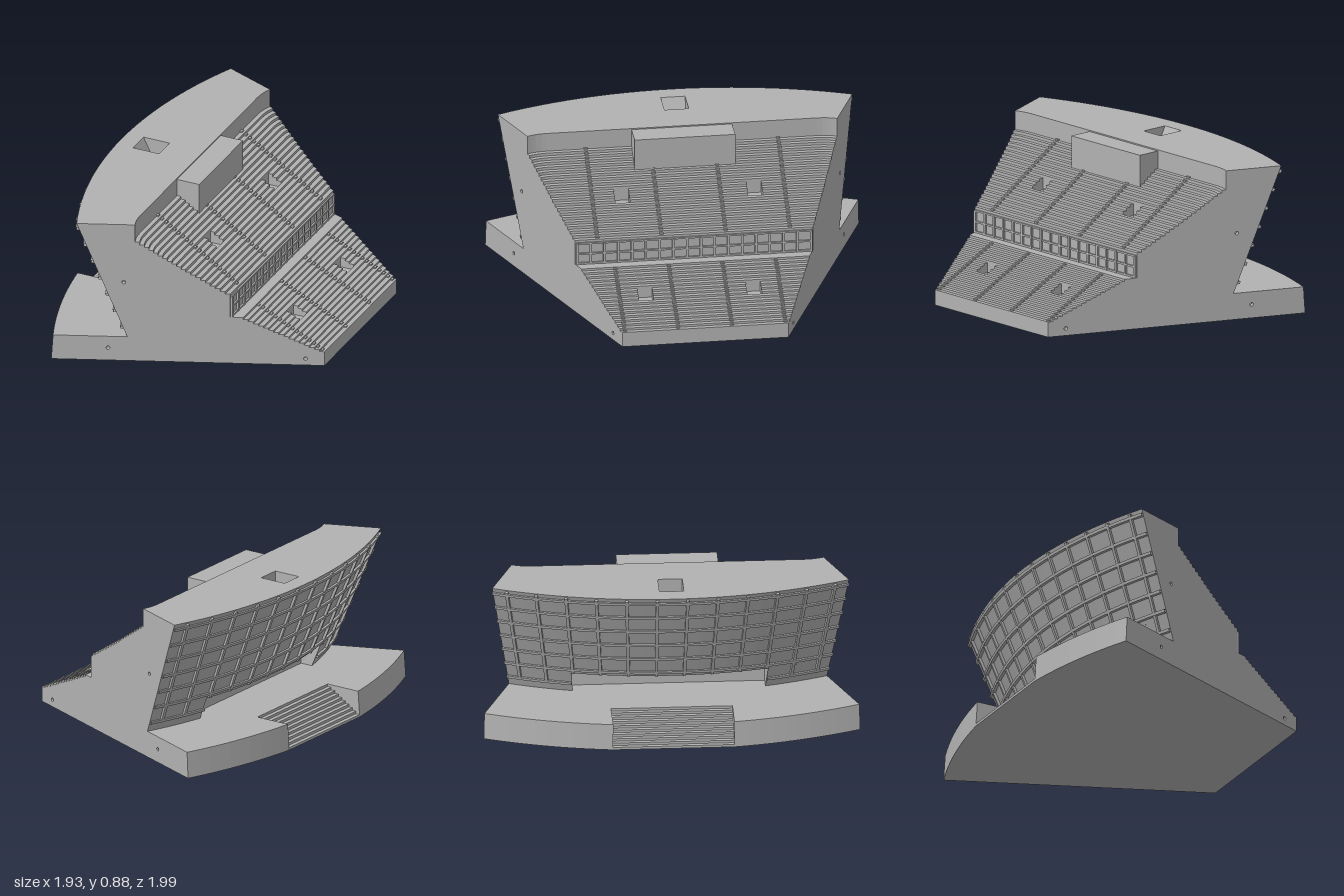
import * as THREE from 'three';
import { mergeGeometries } from 'three/addons/utils/BufferGeometryUtils.js';

// One eighth of a stadium bowl. Local frame: x along the rows, z outward from the pitch centre.
const HALF = Math.PI / 8, TAN = Math.tan(HALF), COS = Math.cos(HALF), SIN = Math.sin(HALF);
const ROUND = 1.88;                       // rows further out than this have rounded corners
const ROOF = 0.885, DECK = 0.155;         // heights of the roof and the outer podium
const OUTER = 2.815, FOOT = 2.38, BROW = 2.67; // radii: podium, facade foot, facade top
const DOOR = 13.4 * Math.PI / 180, DOOR_TOP = 0.29, DOOR_BACK = 2.24;
const NOTCH = 7.1 * Math.PI / 180;

const facadeR = y => FOOT + (BROW - FOOT) * (y - DECK) / (ROOF - DECK);
const endRadius = a => a > ROUND ? ROUND / COS + a - ROUND : a / COS;

// Point on the row at distance a, clipped to the wedge
function rowPoint(a, u) {
  const hw = endRadius(a) * SIN, x = Math.max(-hw, Math.min(hw, u));
  const over = Math.abs(x) - ROUND * TAN, R = a - ROUND;
  return [x, over > 0 && R > 0 ? ROUND + Math.sqrt(Math.max(0, R * R - over * over)) : a];
}

function arc(r, t0, t1, n = 16) {
  return Array.from({ length: n + 1 }, (_, i) => {
    const t = t0 + (t1 - t0) * i / n;
    return [r * Math.sin(t), r * Math.cos(t)];
  });
}

function quads(list) {
  const pos = [];
  for (const [a, b, c, d] of list) pos.push(...a, ...b, ...c, ...a, ...c, ...d);
  const g = new THREE.BufferGeometry();
  g.setAttribute('position', new THREE.Float32BufferAttribute(pos, 3));
  g.computeVertexNormals();
  return g;
}

const toShape = pts => new THREE.Shape(pts.map(p => new THREE.Vector2(p[0], p[1])));

// Horizontal plate from [x, z] points
function plate(pts, y, up = true, hole = null) {
  const s = up ? -1 : 1, map = l => l.map(p => [p[0], s * p[1]]);
  const shape = toShape(map(pts));
  if (hole) shape.holes.push(toShape(map(hole)));
  return new THREE.ShapeGeometry(shape).rotateX(s * Math.PI / 2).translate(0, y, 0);
}

function lathe(pts, t0, t1, n = 16) {
  const g = new THREE.LatheGeometry(pts.map(p => new THREE.Vector2(p[0], p[1])), n, t0, t1 - t0).toNonIndexed();
  g.computeVertexNormals();
  return g;
}

const box = (x0, x1, y0, y1, z0, z1) => new THREE.BoxGeometry(x1 - x0, y1 - y0, z1 - z0)
  .translate((x0 + x1) / 2, (y0 + y1) / 2, (z0 + z1) / 2);

export function createModel() {
  const concrete = new THREE.MeshStandardMaterial({ color: 0xb2b2b2, side: THREE.DoubleSide });
  concrete.name = 'concreteGrey';
  const model = new THREE.Group(), stand = new THREE.Group();
  model.name = 'stadiumSection';
  stand.name = 'stand';
  model.add(stand);
  stand.position.set(1.85, 0, -0.995);
  stand.rotation.y = -3 * HALF;
  const add = (name, geo) => {
    const m = new THREE.Mesh(geo, concrete);
    m.name = name;
    stand.add(m);
    return m;
  };

  // Stepped seating profile as [distance, height], with half steps for the aisles
  const profile = [[1.156, 0], [1.156, 0.09]], aisles = [];
  function tier(n, a0, a1, y0, y1, aisleAt) {
    const d = (a1 - a0) / n, h = (y1 - y0) / n;
    for (let i = 0; i < n; i++) {
      const a = a0 + d * (i + 1), y = y0 + h * i;
      profile.push([a, y], [a, y + h]);
      for (const u of aisleAt) for (const s of [-1, 1])
        aisles.push(box(s * u - 0.011, s * u + 0.011, y, y + h / 2, a - d / 2, a));
    }
  }
  tier(16, 1.156, 1.586, 0.09, 0.30, [0.155, 0.463]);
  profile.push([1.655, 0.30], [1.655, 0.45]);
  tier(20, 1.655, 2.18, 0.45, 0.79, [0.185, 0.555]);
  profile.push([2.18, ROOF]);
  add('aisleSteps', mergeGeometries(aisles));

  // Sunken entrances in the two tiers
  const pits = [[1.345, 1.455, 0.27, 0.355], [1.85, 1.965, 0.34, 0.425]].map(([a0, a1, u0, u1]) => {
    const inside = profile.map((p, i) => i).filter(i => profile[i][0] > a0 && profile[i][0] < a1);
    return { first: inside[0], last: inside[inside.length - 1], u0, u1 };
  });

  // Seating surface, leaving out the entrances
  const us = [0, 0.27, 0.34, 0.355, 0.425, 0.78, 0.81, 0.84, 0.86, 0.88, 0.9];
  const cols = [...us.slice(1).map(u => -u).reverse(), ...us];
  const faces = [];
  for (let i = 0; i < profile.length - 1; i++) {
    const [a, y] = profile[i], [b, y2] = profile[i + 1];
    for (let j = 0; j < cols.length - 1; j++) {
      const mid = Math.abs(cols[j] + cols[j + 1]) / 2;
      if (pits.some(p => i >= p.first && i < p.last && mid > p.u0 && mid < p.u1)) continue;
      const at = (d, h, u) => { const [x, z] = rowPoint(d, u); return [x, h, z]; };
      faces.push([at(a, y, cols[j + 1]), at(a, y, cols[j]), at(b, y2, cols[j]), at(b, y2, cols[j + 1])]);
    }
  }
  add('seatingTiers', quads(faces));

  for (const { first, last, u0, u1 } of pits) for (const s of [-1, 1]) {
    const slice = profile.slice(first, last + 1), [a0, yl] = slice[0], [a1, yh] = slice[slice.length - 1];
    const f = yl - 0.02, l = s > 0 ? u0 : -u1, r = s > 0 ? u1 : -u0;
    add('entranceFloorAndWalls', quads([
      [[l, f, a0], [l, f, a1], [r, f, a1], [r, f, a0]],
      [[r, f, a1], [l, f, a1], [l, yh, a1], [r, yh, a1]],
      [[l, f, a0], [r, f, a0], [r, yl, a0], [l, yl, a0]]]));
    for (const u of [l, r])
      add('entranceSide', new THREE.ShapeGeometry(toShape([...slice, [a1, f], [a0, f]]))
        .rotateY(-Math.PI / 2).translate(u, 0, 0));
  }

  // Window grid on the wall between the tiers
  const bars = [0.305, 0.365, 0.43].map(y => box(-0.68, 0.68, y - 0.005, y + 0.005, 1.645, 1.656));
  for (let i = 0; i <= 17; i++) {
    const u = -0.675 + i * 1.35 / 17;
    bars.push(box(u - 0.007, u + 0.007, 0.30, 0.43, 1.643, 1.656));
  }
  add('windowGrid', mergeGeometries(bars));

  add('pressBox', box(-0.29, 0.29, 0.69, 0.878, 2.04, 2.19));

  // Roof with a sunken hatch
  const roofEdge = cols.map(u => rowPoint(2.18, u))
    .filter((p, i, l) => !i || Math.abs(p[0] - l[i - 1][0]) > 1e-6);
  const h = 0.07, h0 = 2.40, h1 = 2.565, h2 = 2.515, hy = 0.785;
  add('roof', plate([...roofEdge, ...arc(BROW, HALF, -HALF, 24)], ROOF, true,
    [[-h, h0], [h, h0], [h, h1], [-h, h1]]));
  add('roofHatch', quads([
    [[-h, hy, h0], [-h, hy, h2], [h, hy, h2], [h, hy, h0]],
    [[h, hy, h2], [-h, hy, h2], [-h, ROOF, h1], [h, ROOF, h1]],
    [[-h, hy, h0], [h, hy, h0], [h, ROOF, h0], [-h, ROOF, h0]],
    [[-h, hy, h2], [-h, hy, h0], [-h, ROOF, h0], [-h, ROOF, h1]],
    [[h, hy, h0], [h, hy, h2], [h, ROOF, h1], [h, ROOF, h0]]]));

  // Leaning facade above and beside the recessed doorway
  const rTop = facadeR(DOOR_TOP), dw = FOOT * Math.sin(DOOR);
  add('facadeUpper', lathe([[rTop, DOOR_TOP], [BROW, ROOF]], -HALF, HALF, 24));
  for (const s of [-1, 1]) {
    const t0 = s > 0 ? DOOR : -HALF, t1 = s > 0 ? HALF : -DOOR;
    add('facadeLower', lathe([[FOOT, DECK], [rTop, DOOR_TOP]], t0, t1, 6));
    const sx = s * Math.sin(DOOR), cz = Math.cos(DOOR);
    add('doorwaySide', quads([[[s * dw, DECK, DOOR_BACK], [s * dw, DOOR_TOP, DOOR_BACK],
      [rTop * sx, DOOR_TOP, rTop * cz], [FOOT * sx, DECK, FOOT * cz]]]));
  }
  add('doorwayBack', quads([[[-dw, DECK, DOOR_BACK], [dw, DECK, DOOR_BACK],
    [dw, DOOR_TOP, DOOR_BACK], [-dw, DOOR_TOP, DOOR_BACK]]]));
  add('doorwayCeiling', plate([[-dw, DOOR_BACK], [dw, DOOR_BACK], ...arc(rTop, DOOR, -DOOR)], DOOR_TOP, false));

  // Facade ribs
  const lean = Math.atan2(BROW - FOOT, ROOF - DECK);
  for (let i = 0; i < 12; i++) {
    const t = -HALF + (i + 0.5) * HALF / 6;
    const y0 = Math.abs(t) < DOOR ? DOOR_TOP + 0.01 : 0.21, y1 = 0.875, ym = (y0 + y1) / 2;
    add('verticalRib', new THREE.BoxGeometry(0.018, (y1 - y0) / Math.cos(lean), 0.024)
      .rotateX(lean).translate(0, ym, facadeR(ym) + 0.003).rotateY(t));
  }
  for (let i = 0; i < 7; i++) {
    const y = 0.215 + i * 0.106, r = facadeR(y);
    const section = [[r - 0.004, y - 0.008], [r + 0.014, y - 0.008], [r + 0.018, y + 0.008], [r + 0.002, y + 0.008]];
    const spans = y < DOOR_TOP ? [[-HALF, -DOOR], [DOOR, HALF]] : [[-HALF, HALF]];
    for (const [t0, t1] of spans) add('horizontalRib', lathe(section, t0, t1, 20));
  }

  // Podium deck, outer wall and entrance stairs
  const w = OUTER * Math.sin(NOTCH), edge = OUTER * Math.cos(NOTCH), back = 2.545, lip = OUTER - 0.01;
  add('podiumDeck', plate([
    ...arc(FOOT, -HALF, -DOOR, 6), [-dw, DOOR_BACK], [dw, DOOR_BACK], ...arc(FOOT, DOOR, HALF, 6),
    ...arc(lip, HALF, NOTCH), [w, back], [-w, back], ...arc(lip, -NOTCH, -HALF)], DECK));
  for (const s of [-1, 1]) {
    add('podiumWall', lathe([[OUTER, 0], [lip, DECK]], s > 0 ? NOTCH : -HALF, s > 0 ? HALF : -NOTCH, 10));
    add('stairSide', quads([[[s * w, 0, back], [s * w, 0, edge], [s * w, DECK, edge - 0.01], [s * w, DECK, back]]]));
  }
  const stair = [[back, 0], [back, DECK]], n = 10;
  for (let i = 1; i <= n; i++) {
    const a = back + (edge - back) * i / n;
    stair.push([a, DECK * (1 - (i - 1) / n)], [a, DECK * (1 - i / n)]);
  }
  stair.pop();
  stair.push([edge, 0]);
  add('outerStairs', new THREE.ExtrudeGeometry(toShape(stair), { depth: 2 * w, bevelEnabled: false })
    .rotateY(-Math.PI / 2).translate(w, 0, 0));

  // Underside
  const front = 1.156 * TAN;
  add('base', plate([[-front, 1.156], [front, 1.156],
    ...arc(OUTER, HALF, NOTCH), ...arc(OUTER, -NOTCH, -HALF)], 0, false));

  // Mirrored end walls with small joining holes
  const end = toShape([...profile.map(([a, y]) => [endRadius(a), y]),
    [BROW, ROOF], [FOOT, DECK], [lip, DECK], [OUTER, 0]]);
  const holes = [[2.49, 0.08], [2.40, 0.51], [1.36, 0.042]];
  for (const [r, y] of holes) {
    const p = new THREE.Path();
    p.absarc(r, y, 0.011, 0, Math.PI * 2, true);
    end.holes.push(p);
  }
  const turn = -HALF - Math.PI / 2;
  const parts = [new THREE.ShapeGeometry(end, 8)];
  for (const [r, y] of holes) {
    parts.push(new THREE.CylinderGeometry(0.011, 0.011, 0.03, 16, 1, true).rotateX(Math.PI / 2).translate(r, y, -0.015));
    parts.push(new THREE.CircleGeometry(0.011, 16).translate(r, y, -0.03));
  }
  const endGeo = mergeGeometries(parts).rotateY(turn);
  add('endWall', endGeo);
  add('endWallMirrored', endGeo).scale.x = -1;

  return model;
}
